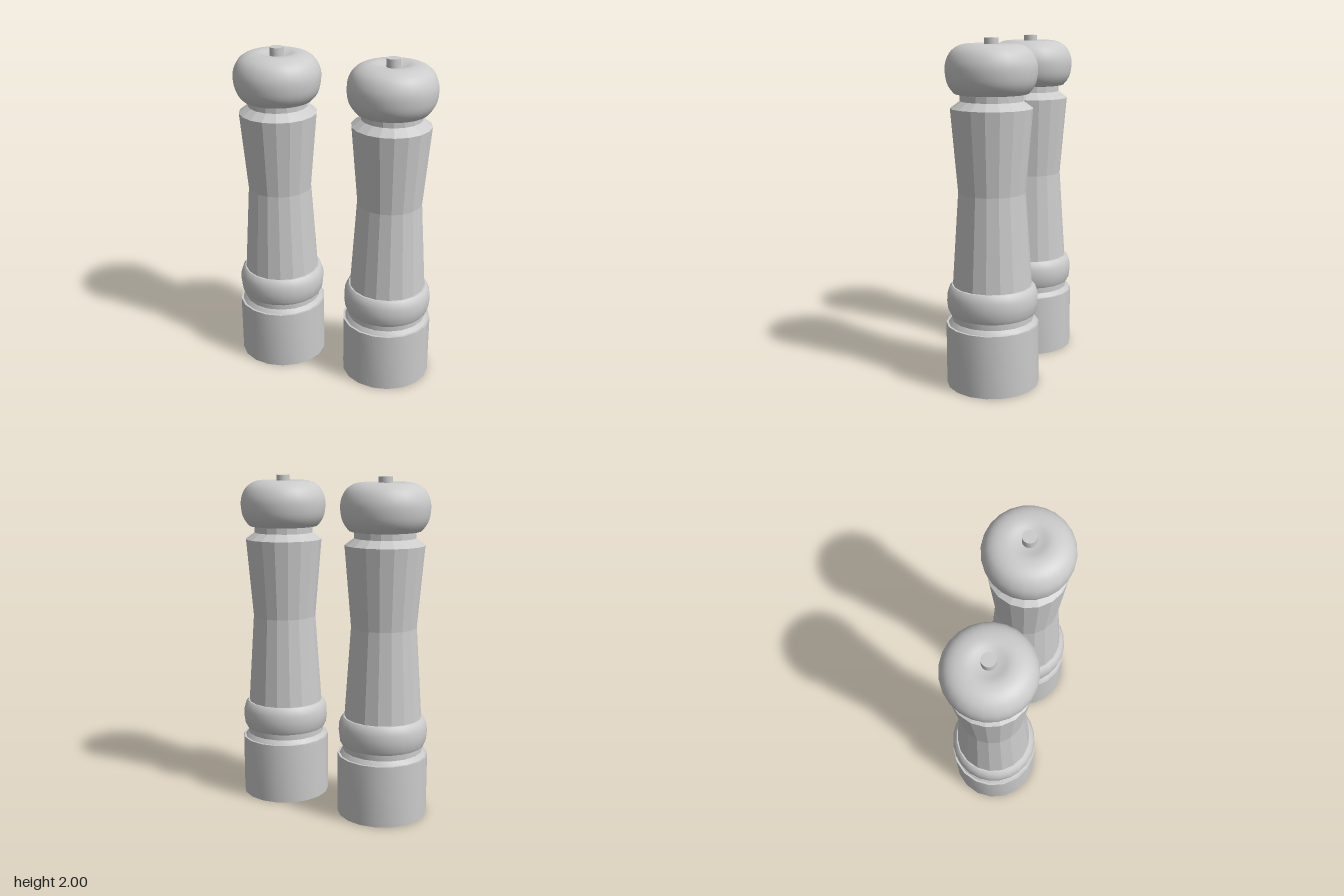
import * as THREE from 'three';
import { toCreasedNormals } from 'three/addons/utils/BufferGeometryUtils.js';

const material = new THREE.MeshStandardMaterial({ color: 0xcccccc });

// Turned part from a bottom-to-top profile of [radius, height] pairs
function turned(name, profile, { sides = 18, crease = 0.55, curved = false } = {}) {
  let points = profile.map(([r, y]) => new THREE.Vector2(r, y));
  if (curved) {
    points = new THREE.SplineCurve(points).getPoints(profile.length * 3);
    points.forEach((p) => { p.x = Math.max(p.x, 0); });
  }
  const lathe = new THREE.LatheGeometry(points, sides, Math.PI / 2);
  const mesh = new THREE.Mesh(toCreasedNormals(lathe, crease), material);
  mesh.name = name;
  return mesh;
}

function createMill(name) {
  const mill = new THREE.Group();
  mill.name = name;

  // Base with a recess underneath and a stepped groove on top
  mill.add(turned('base', [
    [0, 0.1], [0.19, 0.1], [0.19, 0], [0.27, 0], [0.27, 0.37],
    [0.257, 0.37], [0.238, 0.395], [0.238, 0.44],
  ]));

  // Rounded collar between base and body
  mill.add(turned('collar', [
    [0.225, 0.428], [0.247, 0.432], [0.258, 0.455], [0.264, 0.505],
    [0.262, 0.55], [0.25, 0.585], [0.236, 0.6], [0.215, 0.602],
  ], { sides: 24 }));

  // Faceted waisted body with a chamfered shoulder and neck
  mill.add(turned('body', [
    [0.23, 0.58], [0.192, 1.14], [0.232, 1.615], [0.178, 1.655], [0.178, 1.71],
  ], { crease: 0.1 }));

  // Rounded head, dimpled around the knob
  mill.add(turned('head', [
    [0, 1.692], [0.18, 1.692], [0.215, 1.705], [0.247, 1.755], [0.258, 1.825],
    [0.25, 1.88], [0.222, 1.93], [0.175, 1.96], [0.115, 1.969], [0.06, 1.955], [0, 1.945],
  ], { sides: 24, curved: true }));

  // Small knob on top
  mill.add(turned('knob', [[0.04, 1.93], [0.04, 2], [0, 2]], { sides: 20 }));
  return mill;
}

export function createModel() {
  const model = new THREE.Group();
  model.name = 'millPair';
  for (const side of [-1, 1]) {
    const mill = createMill(side < 0 ? 'rightMill' : 'leftMill');
    mill.position.set(side * 0.345, 0, side * 0.068);
    model.add(mill);
  }
  return model;
}
